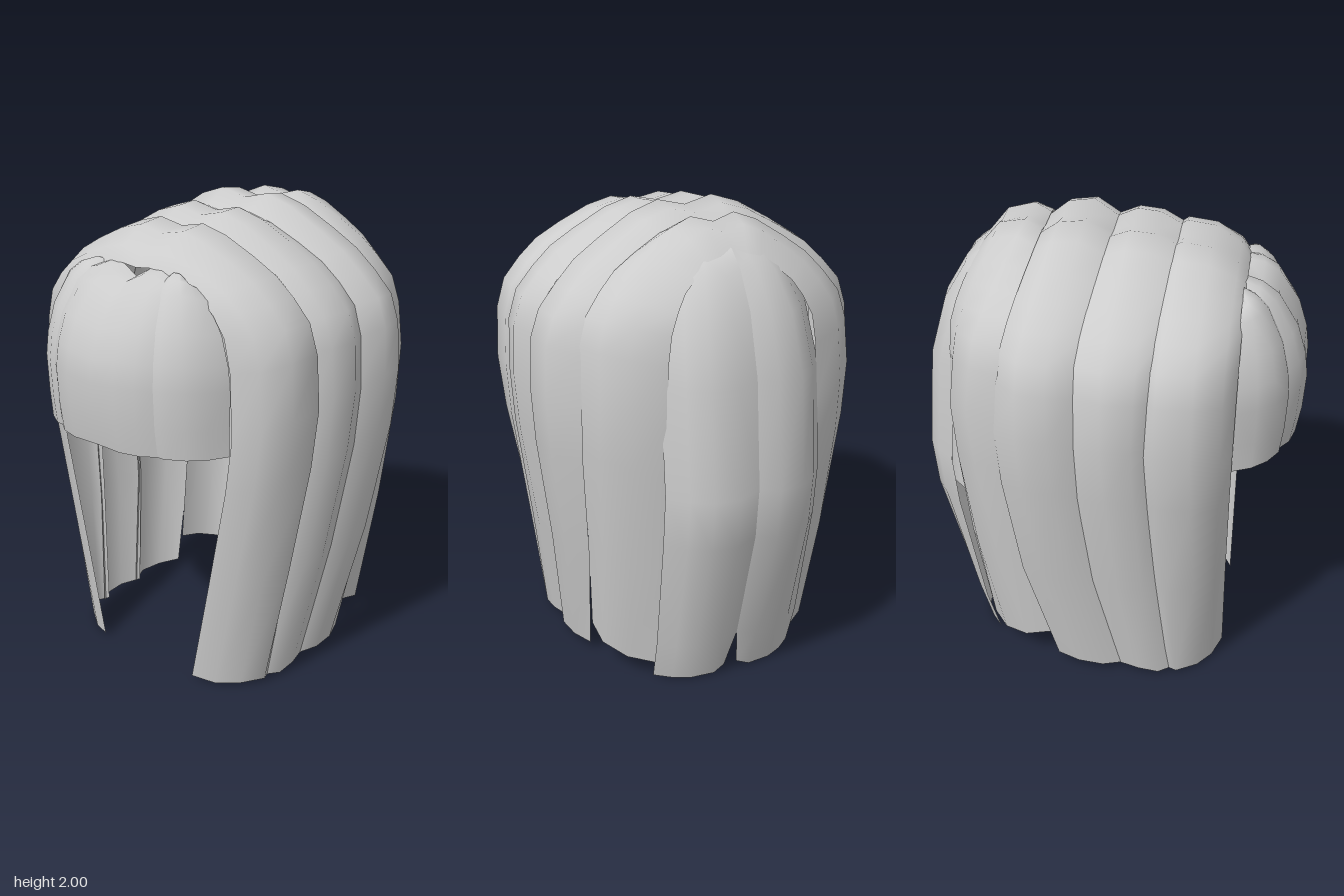
import * as THREE from 'three';

const hair = new THREE.MeshStandardMaterial({ color: 0xcccccc, side: THREE.DoubleSide });
hair.name = 'hair grey';

// Smooth open sheet through a grid of points (rows of equal length)
function sheet(name, rows) {
  const n = rows[0].length, index = [];
  const geo = new THREE.BufferGeometry();
  geo.setAttribute('position', new THREE.Float32BufferAttribute(rows.flat(2), 3));
  for (let r = 0; r < rows.length - 1; r++) {
    for (let i = 0; i < n - 1; i++) {
      const a = r * n + i, b = a + 1, c = a + n, d = c + 1;
      index.push(a, c, b, b, c, d);
    }
  }
  geo.setIndex(index);
  geo.computeVertexNormals();
  const mesh = new THREE.Mesh(geo, hair);
  mesh.name = name;
  return mesh;
}

// Half of the arch shared by all locks over the head: [fraction of width, fraction of height]
const ARCH = [[0, 0.985], [0.17, 1], [0.34, 0.98], [0.54, 0.938], [0.7, 0.9], [0.82, 0.857], [0.93, 0.81],
  [0.985, 0.75], [1, 0.65], [0.97, 0.52], [0.86, 0.27], [0.74, 0]];
const KEYS = [1, 0.82, 0.65, 0.35, 0];

function depthAt(h, zs) {
  let k = 0;
  while (k < 3 && h < KEYS[k + 1]) k++;
  return THREE.MathUtils.lerp(zs[k], zs[k + 1], (KEYS[k] - h) / (KEYS[k] - KEYS[k + 1]));
}

// One edge or crest line of a lock, running from foot to foot over the head
function archRow([top, width, footX, footY, zs]) {
  const half = ARCH.map(([ax, ay]) => {
    const s = Math.max(0, (0.65 - ay) / 0.65);
    const x = width * (ax + (footX / width - 0.74) * s);
    // Lower rows have a flatter crown and fuller shoulders
    const fuller = ay > 0.65 ? (2 - top) * 0.6 * Math.sin(Math.PI * (1 - ay) / 0.35) : 0;
    return [x, footY + (top - footY) * ay + fuller, depthAt(ay, zs)];
  });
  const other = half.slice(1).reverse().map(([x, y, z]) => [-x, y, z]);
  return [...other, ...half];
}

// Rows from front to back: top, half width, foot x, foot y, depths from top to foot
const LOCKS = {
  frontLock: [
    [1.79, 0.5, 0.27, 0.02, [0.55, 0.55, 0.545, 0.54, 0.54]],
    [1.85, 0.61, 0.37, 0.005, [0.51, 0.5, 0.5, 0.5, 0.5]],
    [1.915, 0.68, 0.46, 0.015, [0.4, 0.39, 0.39, 0.41, 0.44]],
    [1.93, 0.69, 0.52, 0.02, [0.28, 0.25, 0.24, 0.28, 0.35]],
    [1.89, 0.63, 0.5, 0.02, [0.22, 0.2, 0.18, 0.23, 0.3]],
  ],
  crownLock: [
    [1.91, 0.64, 0.49, 0.02, [0.27, 0.24, 0.22, 0.25, 0.34]],
    [1.96, 0.7, 0.54, 0.02, [0.17, 0.17, 0.16, 0.18, 0.27]],
    [1.968, 0.72, 0.54, 0.03, [0.07, 0.04, 0.04, 0.07, 0.18]],
    [1.93, 0.67, 0.51, 0.03, [-0.02, -0.07, -0.07, -0.05, 0.08]],
  ],
  middleLock: [
    [1.93, 0.66, 0.51, 0.03, [0, -0.06, -0.06, -0.03, 0.11]],
    [2.0, 0.72, 0.55, 0.04, [-0.11, -0.17, -0.17, -0.14, 0.02]],
    [1.985, 0.7, 0.54, 0.04, [-0.22, -0.29, -0.3, -0.27, -0.09]],
    [1.925, 0.59, 0.5, 0.04, [-0.3, -0.38, -0.41, -0.37, -0.19]],
  ],
  rearLock: [
    [1.94, 0.59, 0.5, 0.16, [-0.29, -0.37, -0.4, -0.35, -0.22]],
    [1.98, 0.56, 0.5, 0.13, [-0.36, -0.49, -0.53, -0.48, -0.34]],
    [1.955, 0.47, 0.43, 0.1, [-0.47, -0.58, -0.62, -0.58, -0.45]],
    [1.86, 0.33, 0.31, 0.08, [-0.55, -0.64, -0.66, -0.63, -0.53]],
  ],
};

// Back panel profile: [y, z, width scale], crown to tip
const BACK = [[1.9, -0.46, 0.5], [1.86, -0.55, 0.62], [1.8, -0.62, 0.76], [1.65, -0.71, 0.91],
  [1.4, -0.78, 1], [0.95, -0.82, 1], [0.73, -0.8, 1], [0.2, -0.655, 0.97], [0.01, -0.6, 0.95]];
// Across one back panel: [x, inset]
const BACK_ACROSS = [[0, 0.02], [0.09, 0], [0.2, 0.015], [0.28, 0.07], [0.35, 0.15]];

function backPanel(side) {
  return sheet(side > 0 ? 'leftBackPanel' : 'rightBackPanel', BACK_ACROSS.map(([x, inset], i) =>
    BACK.map(([y, z, w], k) => {
      const slit = i === 0 && k === BACK.length - 1 ? 0.03 : 0;
      return [side * (x * w + slit), y + (i === 0 ? 0.02 : 0), z + inset * (y < 0.5 ? 0.65 : 1)];
    })));
}

// Short under layer across the nape: [x, z, tip y]
function underLayer() {
  const half = [[0.12, -0.74, 0.77], [0.2, -0.72, 0.75], [0.29, -0.66, 0.78], [0.41, -0.54, 0.78]];
  const across = [...half.map(([x, z, y]) => [-x, z, y]).reverse(), [0, -0.75, 0.74], ...half];
  return sheet('underLayer', across.map(([x, z, tip]) => [
    [x * 0.88, 1.45, z + 0.06], [x * 0.97, 1.15, z + 0.01], [x, tip, z]]));
}

// Fringe profile: [outward growth, y], root to tip
const FRINGE = [[0, 1.79], [0.25, 1.775], [0.5, 1.73], [0.81, 1.6], [0.95, 1.48], [1, 1.38], [0.97, 1.22], [0.9, 1.1]];

// Rows across: root x, tip x, tip z, drop at the root
function fringe(name, across) {
  return sheet(name, across.map(([xr, xe, ze, drop]) => FRINGE.map(([g, y], k) => {
    const gx = k > 5 ? 0.98 : g;
    return [xr + (xe - xr) * gx, y - drop * (1 - k / (FRINGE.length - 1)), 0.54 + (ze - 0.54) * g];
  })));
}

export function createModel() {
  const model = new THREE.Group();
  model.name = 'hair';

  // Overlapping locks draped over the head
  for (const [name, rows] of Object.entries(LOCKS)) model.add(sheet(name, rows.map(archRow)));
  model.add(underLayer());

  // Centre fringe with a small parting notch
  const half = [[0.08, 0.13, 0.82, 0], [0.14, 0.22, 0.795, 0], [0.2, 0.28, 0.75, 0.02]];
  const mirrored = half.map(([a, b, c, d]) => [-a, -b, c, d]).reverse();
  model.add(fringe('centreFringe', [...mirrored, [0, 0, 0.815, 0.05], ...half]));

  // Side fringes and back panels
  for (const side of [-1, 1]) {
    model.add(fringe(side > 0 ? 'leftFringe' : 'rightFringe', [
      [0.17, 0.24, 0.75, 0.02], [0.2, 0.31, 0.75, 0], [0.23, 0.39, 0.7, 0],
      [0.25, 0.45, 0.63, 0.01], [0.26, 0.49, 0.54, 0.03],
    ].map(([a, b, c, d]) => [side * a, side * b, c, d])));
    model.add(backPanel(side));
  }
  return model;
}
